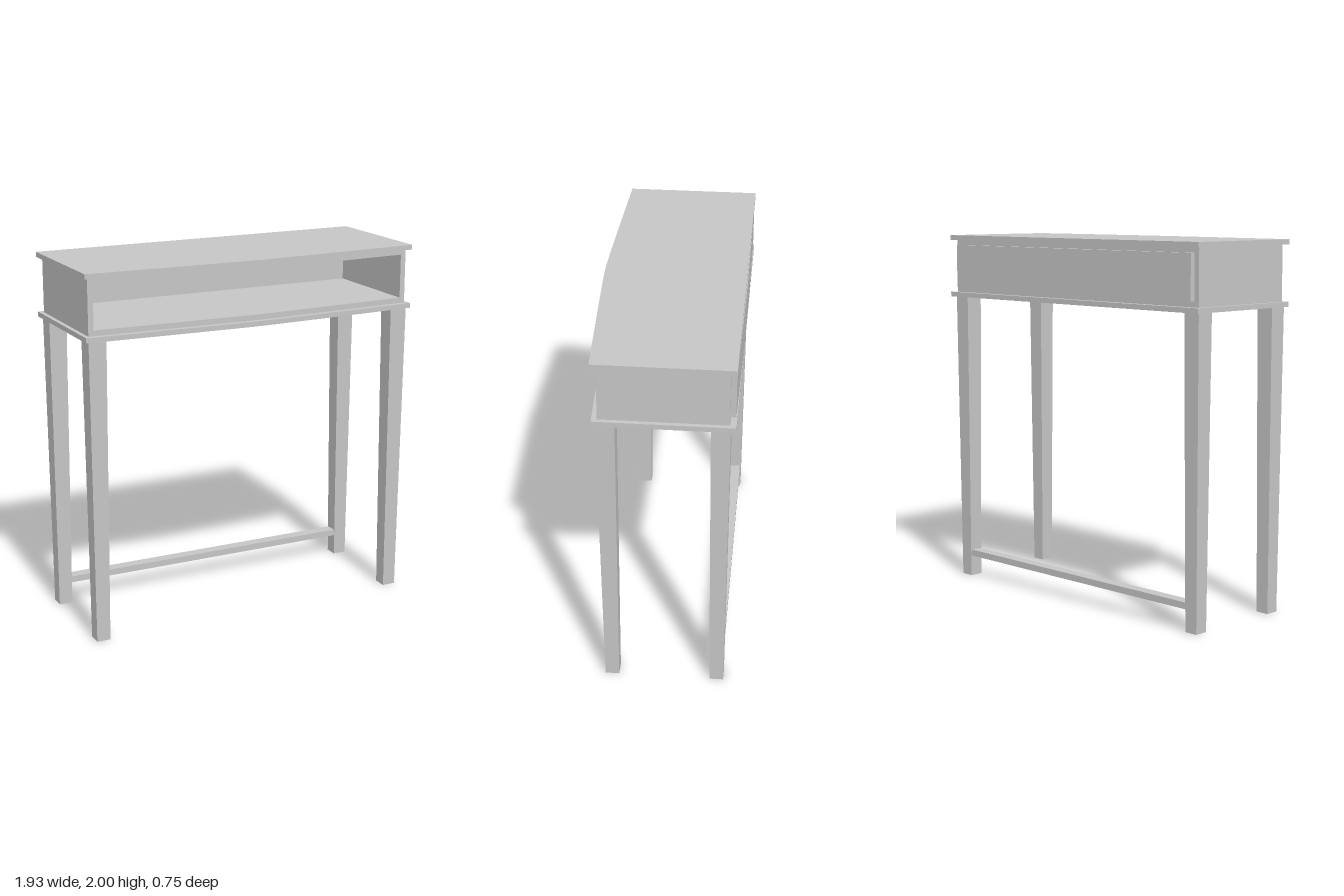
import * as THREE from 'three';

// Half outline of the gently bowed front: fraction of half width, fraction of bow depth
const BOW = [[0.06, 0.98], [0.2, 0.86], [0.4, 0.66], [1, 0]];

export function createModel() {
  const group = new THREE.Group();
  const grey = new THREE.MeshStandardMaterial({ color: 0xc6c6c6 });
  grey.name = 'lightGrey';

  function add(name, geometry, x = 0, y = 0, z = 0) {
    const mesh = new THREE.Mesh(geometry, grey);
    mesh.name = name;
    mesh.position.set(x, y, z);
    group.add(mesh);
    return mesh;
  }

  // Horizontal slab with a straight back and a bowed front
  function bowedSlab(name, half, back, corner, middle, y0, y1) {
    const depth = (f) => corner + (middle - corner) * f;
    const right = BOW.map(([x, f]) => new THREE.Vector2(x * half, -depth(f)));
    const left = right.map((p) => new THREE.Vector2(-p.x, p.y)).reverse();
    const shape = new THREE.Shape([
      new THREE.Vector2(-half, -back),
      ...left, new THREE.Vector2(0, -middle), ...right,
      new THREE.Vector2(half, -back),
    ]);
    const geometry = new THREE.ExtrudeGeometry(shape, { depth: y1 - y0, bevelEnabled: false });
    geometry.rotateX(-Math.PI / 2);
    return add(name, geometry, 0, y0, 0);
  }

  // Overhanging boards above and below the case
  bowedSlab('tabletop', 0.963, -0.372, 0.338, 0.375, 1.973, 2);
  bowedSlab('lowerBoard', 0.963, -0.372, 0.338, 0.375, 1.647, 1.674);

  // Open-fronted case
  bowedSlab('caseCeiling', 0.94, -0.34, 0.31, 0.345, 1.945, 1.973);
  bowedSlab('caseFloor', 0.94, -0.34, 0.31, 0.345, 1.674, 1.704);
  for (const s of [-1, 1]) {
    add(s > 0 ? 'leftCaseSide' : 'rightCaseSide',
      new THREE.BoxGeometry(0.03, 0.241, 0.65), s * 0.925, 1.8245, -0.015);
  }

  // Raised back panel, very slightly bowed outwards
  const panel = new THREE.Shape([
    [-0.91, 0.31], [0.91, 0.31], [0.91, 0.368], [0.36, 0.373],
    [0, 0.375], [-0.36, 0.373], [-0.91, 0.368],
  ].map(([x, z]) => new THREE.Vector2(x, z)));
  const panelGeometry = new THREE.ExtrudeGeometry(panel, { depth: 0.241, bevelEnabled: false });
  panelGeometry.rotateX(-Math.PI / 2);
  add('backPanel', panelGeometry, 0, 1.704, 0);

  // Square legs tapering towards the floor
  for (const [side, s] of [['Left', 1], ['Right', -1]]) {
    for (const [end, z] of [['front', 0.273], ['back', -0.296]]) {
      const geometry = new THREE.BoxGeometry(0.098, 1.647, 0.098);
      const p = geometry.attributes.position;
      for (let i = 0; i < p.count; i++) {
        if (p.getY(i) < 0) {
          p.setX(i, p.getX(i) * 0.77);
          p.setZ(i, p.getZ(i) * 0.77);
        }
      }
      geometry.computeVertexNormals();
      add(end + side + 'Leg', geometry, s * 0.896, 0.8235, z);
    }
  }

  // Flat stretcher between the back legs
  add('stretcher', new THREE.BoxGeometry(1.73, 0.036, 0.066), 0, 0.136, -0.296);

  return group;
}
